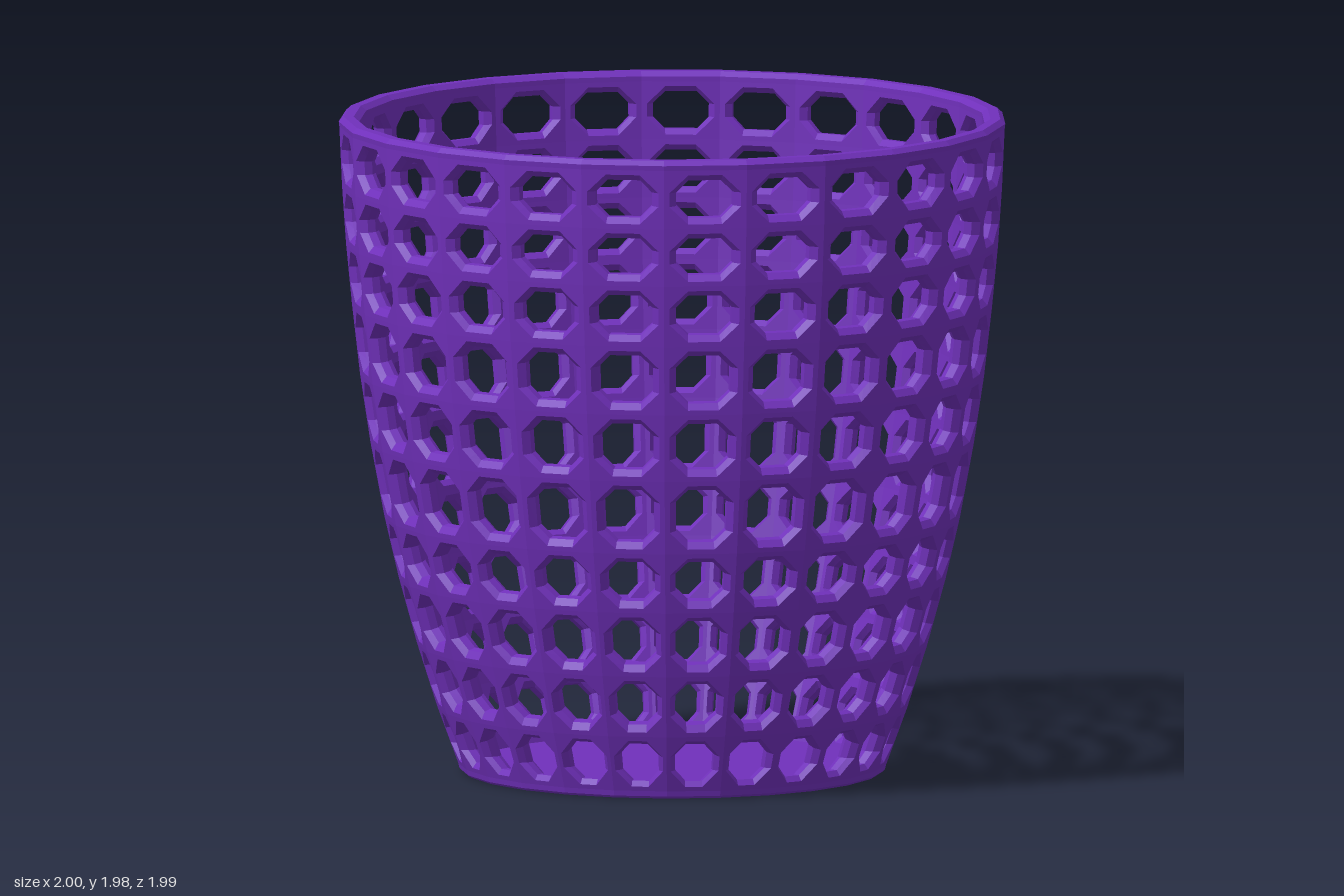
import * as THREE from 'three';

const SIDES = 25;
const WALL = 0.06;
// Outer wall at each horizontal bar: [radius, height]
const RINGS = [
  [0.642, 0.028], [0.705, 0.2], [0.765, 0.39], [0.82, 0.59], [0.863, 0.775], [0.905, 1.0],
  [0.936, 1.205], [0.96, 1.415], [0.978, 1.6], [0.99, 1.775], [0.998, 1.953],
];
// Steps around each bar from outside to inside: [share of bar half-width, depth into the wall]
const STEPS = [[0, 0], [0.45, 0], [1, 0.018], [1, WALL - 0.018], [0.45, WALL], [0, WALL]];

// Point on the wall grid, pushed inwards along the wall normal
function gridPoint(col, row, depth) {
  const lo = RINGS[Math.max(row - 1, 0)], hi = RINGS[Math.min(row + 1, RINGS.length - 1)];
  const dr = hi[0] - lo[0], dy = hi[1] - lo[1], len = Math.hypot(dr, dy);
  const edge = row === 0 || row === RINGS.length - 1;
  const r = RINGS[row][0] - depth * (edge ? 1 : dy / len);
  const y = RINGS[row][1] + depth * (edge ? 0 : dr / len);
  const phi = Math.PI + (col / SIDES) * Math.PI * 2;
  return new THREE.Vector3(r * Math.sin(phi), y, r * Math.cos(phi));
}

// Twelve points around a cell: a rectangle at share 0, an octagon further in
function cellLoop(col, row, share, depth) {
  const bl = gridPoint(col, row, depth), br = gridPoint(col + 1, row, depth);
  const tl = gridPoint(col, row + 1, depth), tr = gridPoint(col + 1, row + 1, depth);
  const width = (bl.distanceTo(br) + tl.distanceTo(tr)) / 2, height = bl.distanceTo(tl);
  const fullU = 0.15, fullV = 0.032 / height;
  const cu = 0.19 * Math.min(1, 0.036 / (0.19 * width)), cv = 0.036 / height;
  const a = fullU * share, b = fullV * share;
  const points = [];
  [[0, 0], [1, 0], [1, 1], [0, 1]].forEach(([sx, sy], k) => {
    const side = [a, fullV + cv], flat = [fullU + cu, b];
    const mid = share === 0 ? [0, 0] : [(side[0] + flat[0]) / 2, (side[1] + flat[1]) / 2];
    const trio = k % 2 === 0 ? [side, mid, flat] : [flat, mid, side];
    for (const [pu, pv] of trio) {
      const u = sx ? 1 - pu : pu, v = sy ? 1 - pv : pv;
      const low = bl.clone().lerp(br, u), high = tl.clone().lerp(tr, u);
      points.push(low.lerp(high, v));
    }
  });
  return points;
}

// Lattice wall: every cell is a bevelled frame around an eight-sided opening
function latticeGeometry() {
  const pos = [];
  const tri = (...pts) => pts.forEach((p) => pos.push(p.x, p.y, p.z));
  for (let row = 0; row < RINGS.length - 1; row++) {
    for (let col = 0; col < SIDES; col++) {
      const loops = STEPS.map(([share, depth]) => cellLoop(col, row, share, depth));
      for (let s = 0; s < loops.length - 1; s++) {
        const A = loops[s], B = loops[s + 1];
        for (let k = 0; k < 12; k++) {
          const n = (k + 1) % 12;
          tri(A[k], A[n], B[n]);
          tri(A[k], B[n], B[k]);
        }
      }
    }
  }
  const geo = new THREE.BufferGeometry();
  geo.setAttribute('position', new THREE.Float32BufferAttribute(pos, 3));
  geo.computeVertexNormals();
  return geo;
}

// Turned part with the same facets as the wall
function turned(profile) {
  const points = profile.map(([r, y]) => new THREE.Vector2(r, y));
  return new THREE.LatheGeometry(points, SIDES, Math.PI, Math.PI * 2);
}

export function createModel() {
  const group = new THREE.Group();
  group.name = 'basket';
  const material = new THREE.MeshStandardMaterial({
    color: 0x7030bb, flatShading: true, side: THREE.DoubleSide,
  });
  const add = (name, geometry) => {
    const mesh = new THREE.Mesh(geometry, material);
    mesh.name = name;
    group.add(mesh);
  };

  add('latticeWall', latticeGeometry());

  // Bevelled lip closing the top of the wall
  add('rim', turned([
    [0.938, 1.953], [0.998, 1.953], [1.0, 1.968], [0.985, 1.982], [0.955, 1.982], [0.938, 1.968], [0.938, 1.953],
  ]));

  // Solid floor
  add('base', turned([[0, 0.005], [0.63, 0.005], [0.638, 0.012], [0.642, 0.028], [0.582, 0.028], [0, 0.028]]));

  return group;
}
